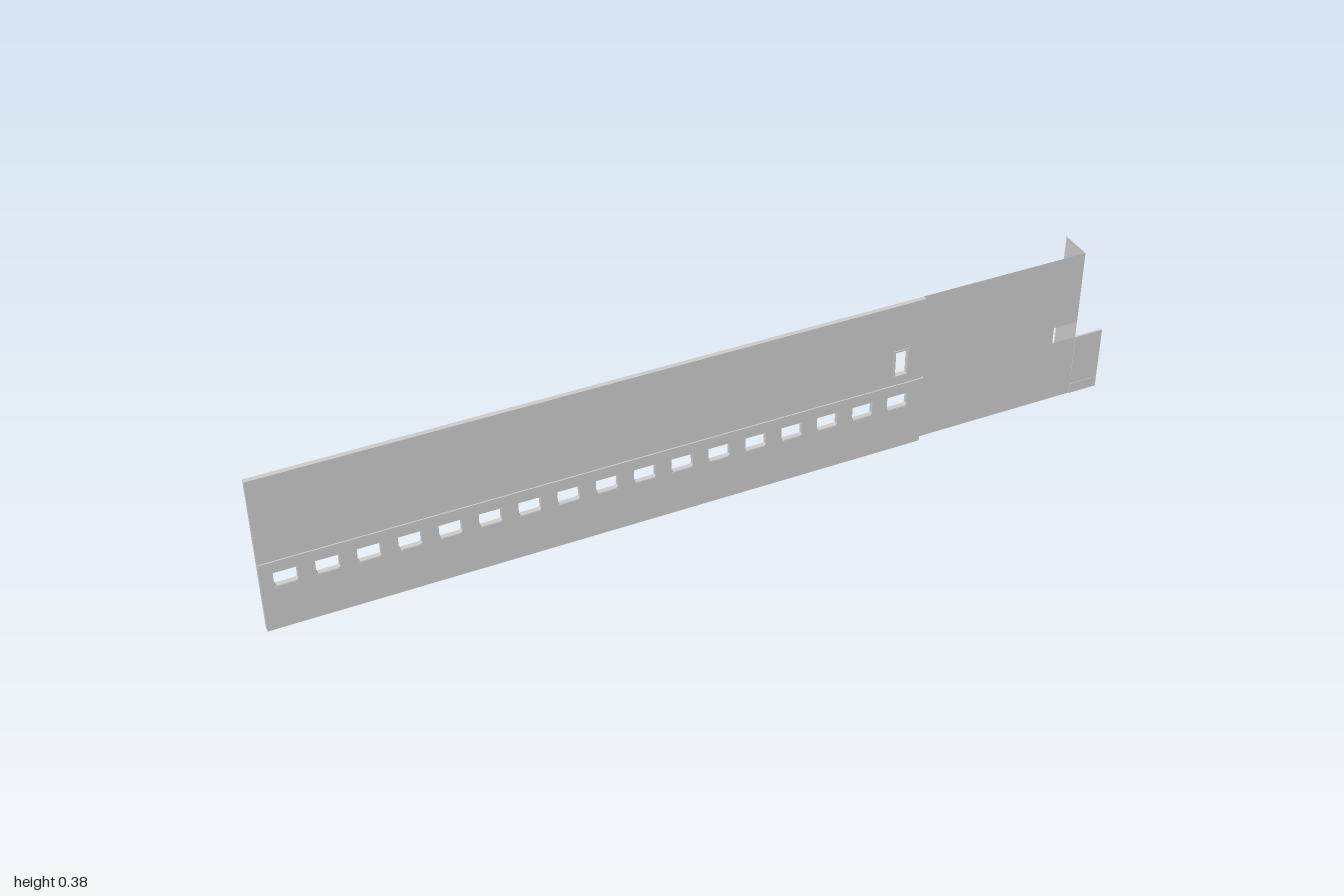
import * as THREE from 'three';

const material = new THREE.MeshStandardMaterial({ color: 0xcccccc, side: THREE.DoubleSide, flatShading: true });

const rect = (x0, y0, x1, y1) => [[x0, y0], [x1, y0], [x1, y1], [x0, y1]];

// Window outline with clipped lower corners
const windowLoop = (x, y0, y1, w, c) => [
  [x - w / 2 + c, y0], [x + w / 2 - c, y0], [x + w / 2, y0 + c],
  [x + w / 2, y1], [x - w / 2, y1], [x - w / 2, y0 + c],
];

// Thin walls running from zFront back to a depth for each edge of a loop
function walls(loop, zFront, backs) {
  const pos = [];
  loop.forEach(([ax, ay], i) => {
    const [bx, by] = loop[(i + 1) % loop.length];
    const zb = Array.isArray(backs) ? backs[i] : backs;
    if (zb === zFront) return;
    pos.push(ax, ay, zFront, ax, ay, zb, bx, by, zb, ax, ay, zFront, bx, by, zb, bx, by, zFront);
  });
  const g = new THREE.BufferGeometry();
  g.setAttribute('position', new THREE.Float32BufferAttribute(pos, 3));
  g.computeVertexNormals();
  return g;
}

// Pressed sheet: a face with holes, a folded rim and window reveals, open at the back
function shell(name, outline, zFront, backs, holes = [], holeBack = zFront) {
  const group = new THREE.Group();
  group.name = name;
  const toPoints = (loop) => loop.map(([x, y]) => new THREE.Vector2(x, y));
  const shape = new THREE.Shape(toPoints(outline));
  holes.forEach((h) => shape.holes.push(new THREE.Path(toPoints(h))));
  const add = (partName, geometry) => {
    const mesh = new THREE.Mesh(geometry, material);
    mesh.name = partName;
    group.add(mesh);
  };
  const face = new THREE.ShapeGeometry(shape);
  face.translate(0, 0, zFront);
  add(name + 'Face', face);
  if (backs !== zFront) add(name + 'Rim', walls(outline, zFront, backs));
  holes.forEach((h) => add('windowReveal', walls(h, zFront, holeBack)));
  return group;
}

export function createModel() {
  const model = new THREE.Group();
  model.name = 'sidePanel';

  // Lower panel with the row of windows
  const windows = [];
  for (let i = 0; i < 17; i++) windows.push(windowLoop(-0.947 + i * 0.0876, 0.112, 0.146, 0.05, 0.004));
  model.add(shell('lowerPanel', rect(-1, 0, 0.519, 0.16), 0.046, [0.033, 0.033, 0.042, 0.033], windows, 0.035));

  // Window sills
  windows.forEach((w) => {
    const sill = new THREE.Mesh(new THREE.BoxGeometry(0.046, 0.003, 0.003), material);
    sill.position.set((w[0][0] + w[1][0]) / 2, 0.1095, 0.0455);
    sill.name = 'windowSill';
    model.add(sill);
  });

  // Upper panel with the tall narrow window
  const tall = rect(0.445, 0.2, 0.476, 0.263);
  model.add(shell('upperPanel', rect(-1, 0.175, 0.514, 0.385), 0.044, [0.041, 0.033, 0.033, 0.033], [tall], 0.034));

  // Raised frame around the tall window
  model.add(shell('tallWindowFrame', rect(0.441, 0.196, 0.48, 0.267), 0.046, 0.044, [tall], 0.044));

  // Horizontal belt rail between the panels
  model.add(shell('beltRail', rect(-1, 0.16, 0.519, 0.175), 0.047, [0.042, 0.034, 0.041, 0.034]));

  // Thin end sheet, notched beside the fold
  const sheet = [[0.514, 0], [0.928, 0], [0.928, 0.158], [0.866, 0.158], [0.866, 0.2], [0.928, 0.2], [0.928, 0.385], [0.514, 0.385]];
  model.add(shell('endSheet', sheet, 0.033, 0.033));

  // Flange folded back from the end sheet
  const flange = new THREE.Mesh(new THREE.PlaneGeometry(0.078, 0.385), material);
  flange.rotation.y = Math.PI / 2;
  flange.position.set(0.928, 0.1925, -0.006);
  flange.name = 'endFlange';
  model.add(flange);

  // Low tab past the flange, with a small ledge near its foot
  model.add(shell('endTab', rect(0.928, 0, 1, 0.158), 0.035, 0.03));
  const ledge = new THREE.Mesh(new THREE.BoxGeometry(0.072, 0.002, 0.006), material);
  ledge.position.set(0.964, 0.026, 0.033);
  ledge.name = 'tabLedge';
  model.add(ledge);

  return model;
}
